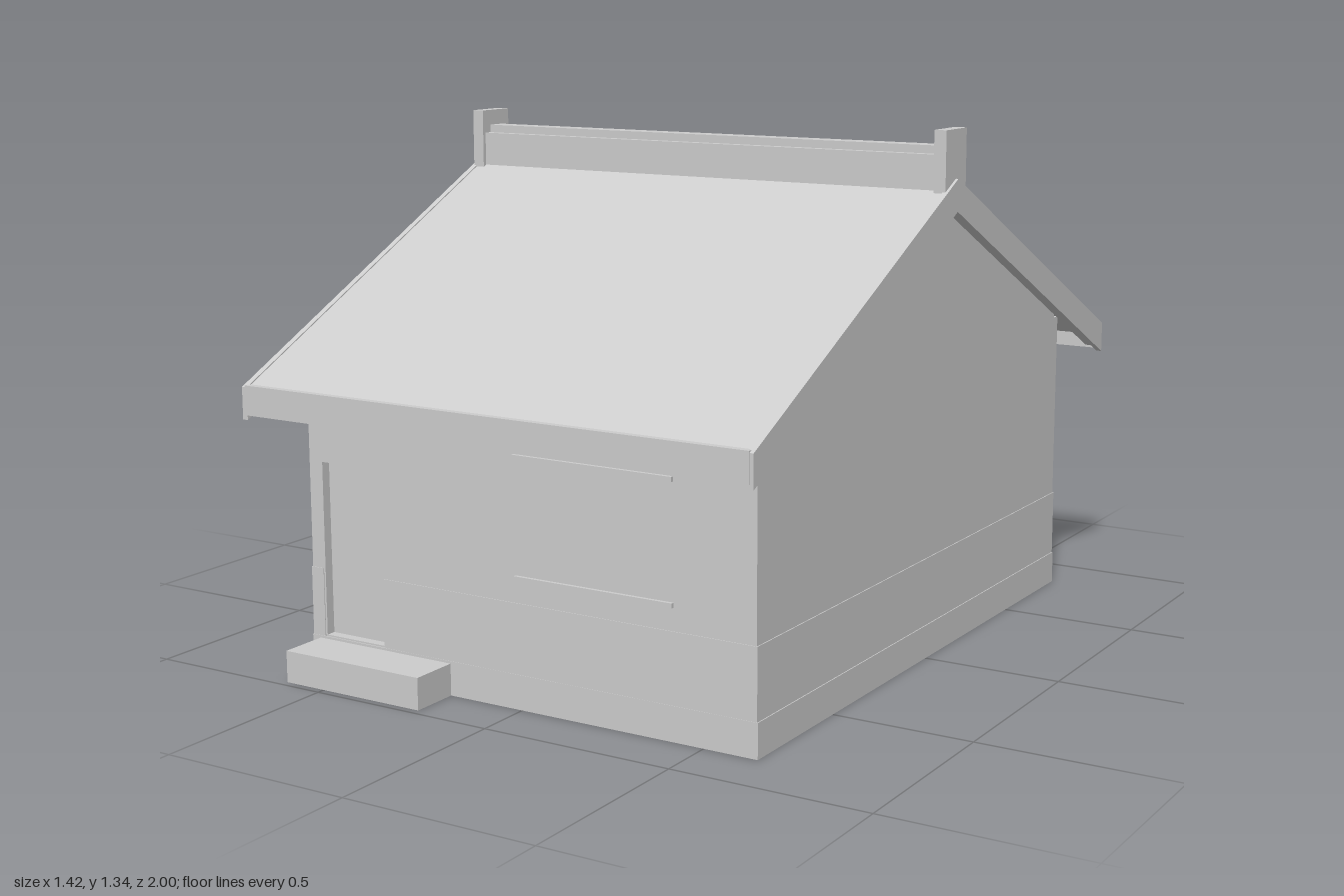
import * as THREE from 'three';

export function createModel() {
  const model = new THREE.Group();
  const grey = new THREE.MeshStandardMaterial({ color: 0xcccccc });
  grey.name = 'plain grey';

  const RIDGE_Z = 0.0125, SLOPE = 0.497, FRONT = 0.85, BACK = -0.825;
  const roofY = z => 1.22 - SLOPE * Math.abs(z - RIDGE_Z);

  function add(name, geometry, parent = model) {
    const mesh = new THREE.Mesh(geometry, grey);
    mesh.name = name;
    parent.add(mesh);
    return mesh;
  }
  // Box given by its extents on each axis
  function box(name, x0, x1, y0, y1, z0, z1, parent) {
    const g = new THREE.BoxGeometry(x1 - x0, y1 - y0, z1 - z0);
    g.translate((x0 + x1) / 2, (y0 + y1) / 2, (z0 + z1) / 2);
    return add(name, g, parent);
  }
  // Profile of [z, y] points extruded along x
  function prism(name, points, x0, x1, parent) {
    const shape = new THREE.Shape(points.map(p => new THREE.Vector2(p[0], p[1])));
    const g = new THREE.ExtrudeGeometry(shape, { depth: x1 - x0, bevelEnabled: false });
    g.rotateY(-Math.PI / 2).translate(x1, 0, 0);
    return add(name, g, parent);
  }
  // Bent strip following both roof slopes, between two depths below the roof line
  function roofStrip(name, x0, x1, top, bottom, z0, z1, parent) {
    const line = d => [z1, RIDGE_Z, z0].map(z => [z, roofY(z) - d]);
    return prism(name, [...line(bottom), ...line(top).reverse()], x0, x1, parent);
  }
  // Wall plate with rectangular openings [x0, x1, y0, y1]
  function wallPlate(name, z0, z1, height, openings) {
    const s = new THREE.Shape();
    s.moveTo(-0.635, 0).lineTo(0.635, 0).lineTo(0.635, height).lineTo(-0.635, height).closePath();
    for (const [x0, x1, y0, y1] of openings) {
      const h = new THREE.Path();
      h.moveTo(x0, y0).lineTo(x0, y1).lineTo(x1, y1).lineTo(x1, y0).closePath();
      s.holes.push(h);
    }
    const g = new THREE.ExtrudeGeometry(s, { depth: z1 - z0, bevelEnabled: false });
    add(name, g.translate(0, 0, z0));
  }

  // House body; its front and back faces form the bottoms of the recesses
  const coreFront = FRONT - 0.025, coreBack = BACK + 0.025;
  prism('houseBody', [
    [coreBack, 0], [coreFront, 0], [coreFront, roofY(coreFront) - 0.04],
    [RIDGE_Z, 1.18], [coreBack, roofY(coreBack) - 0.04],
  ], -0.635, 0.635);

  // Front and back walls with door and window openings
  const door = [-0.595, -0.415, 0.09, 0.53];
  const windows = [[0.22, 0.605], [-0.19, 0.19], [-0.405, -0.22]];
  wallPlate('frontWall', coreFront, FRONT, roofY(FRONT) - 0.04, [door]);
  wallPlate('backWall', BACK, coreBack, roofY(BACK) - 0.04,
    [[-0.61, -0.425, 0.09, 0.55], ...windows.map(([a, b]) => [a, b, 0.265, 0.565])]);

  // Plinth and the low skirting above it
  box('plinth', -0.64, 0.64, 0, 0.086, BACK - 0.003, FRONT + 0.003);
  for (const s of [-1, 1]) {
    const x = 0.636 * s;
    box('sideSkirting', x - 0.0015, x + 0.0015, 0.08, 0.26, BACK - 0.002, FRONT + 0.002);
  }
  box('frontSkirting', -0.41, 0.637, 0.08, 0.26, FRONT - 0.001, FRONT + 0.002);
  box('frontSkirtingEnd', -0.637, -0.6, 0.08, 0.26, FRONT - 0.001, FRONT + 0.002);
  box('backSkirting', -0.415, 0.637, 0.08, 0.255, BACK - 0.002, BACK + 0.001);
  box('backSkirtingEnd', -0.637, -0.612, 0.08, 0.26, BACK - 0.002, BACK + 0.001);
  box('sideBatten', -0.639, -0.634, 0.25, 0.72, 0.405, 0.418);

  // Front and back door steps
  box('frontStep', -0.615, -0.21, 0, 0.08, FRONT - 0.01, 0.98);
  box('backStep', -0.615, -0.21, 0, 0.08, -1.0, BACK + 0.01);

  // Rails above and below the front window
  for (const y of [0.315, 0.605]) {
    box('frontWindowRail', -0.015, 0.42, y, y + 0.012, FRONT - 0.002, FRONT + 0.009);
  }

  // Barred windows at the back
  for (const [x0, x1] of windows) {
    const win = new THREE.Group();
    win.name = 'barredWindow';
    model.add(win);
    const n = Math.round((x1 - x0) / 0.03);
    for (let i = 0; i < n; i++) {
      const x = x0 + (i + 0.5) * (x1 - x0) / n;
      box('windowBar', x - 0.007, x + 0.007, 0.262, 0.568, BACK - 0.004, BACK + 0.012, win);
    }
    for (const y of [0.253, 0.563]) {
      box('windowRail', x0 - 0.005, x1 + 0.005, y, y + 0.012, BACK - 0.009, BACK + 0.005, win);
    }
  }
  for (const x of [0.205, -0.205, -0.415]) {
    box('windowPost', x - 0.009, x + 0.009, 0.253, 0.575, BACK - 0.007, BACK + 0.002);
  }

  // Roof covering, verge boards, eave boards and rafters
  const EAVE_F = 0.998, EAVE_B = -0.973;
  roofStrip('roofCovering', -0.7, 0.7, 0.003, 0.04, EAVE_B + 0.01, EAVE_F - 0.01);
  for (const s of [-1, 1]) {
    const x = 0.7025 * s;
    roofStrip('vergeBoard', x - 0.0075, x + 0.0075, 0, 0.08, EAVE_B, EAVE_F);
  }
  box('frontEaveBoard', -0.7, 0.7, 0.662, 0.735, EAVE_F - 0.022, EAVE_F + 0.002);
  box('backEaveBoard', -0.7, 0.7, 0.662, 0.735, EAVE_B - 0.002, EAVE_B + 0.022);
  for (let i = 0; i < 14; i++) {
    const x = -0.68 + i * 1.36 / 13;
    roofStrip('rafter', x - 0.009, x + 0.009, 0.035, 0.073, EAVE_B + 0.012, EAVE_F - 0.012);
  }

  // Ridge with its cap and end blocks
  box('ridge', -0.68, 0.68, 1.17, 1.28, RIDGE_Z - 0.047, RIDGE_Z + 0.047);
  box('ridgeCap', -0.68, 0.68, 1.27, 1.3, RIDGE_Z - 0.025, RIDGE_Z + 0.025);
  for (const s of [-1, 1]) {
    const x = 0.687 * s;
    box('ridgeEnd', x - 0.016, x + 0.016, 1.186, 1.34, RIDGE_Z - 0.0575, RIDGE_Z + 0.0575);
  }
  return model;
}
